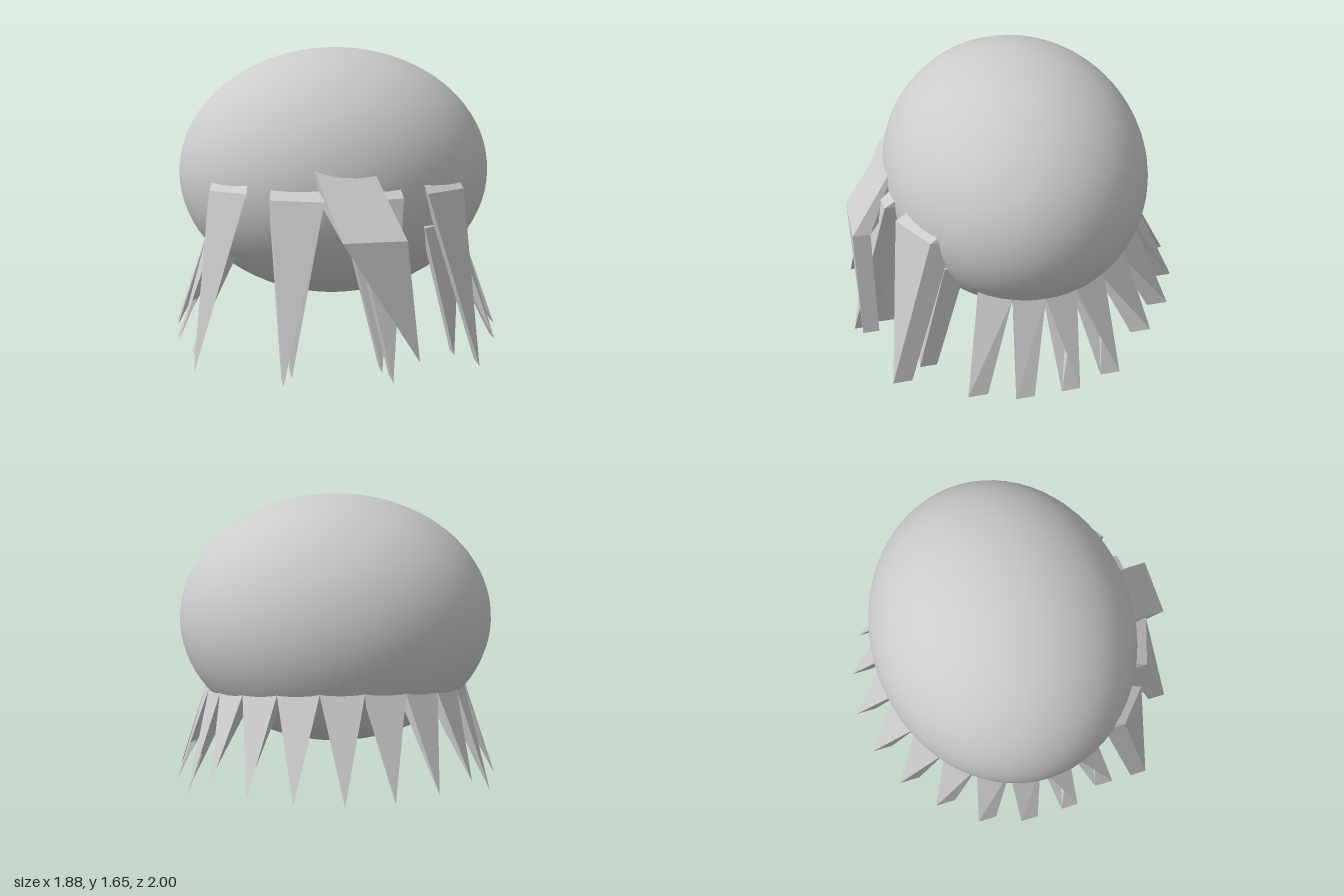
import * as THREE from 'three';

const bodyMat = new THREE.MeshStandardMaterial({ color: 0xcccccc });
const spikeMat = new THREE.MeshStandardMaterial({ color: 0xcccccc, flatShading: true, side: THREE.DoubleSide });

const C = { x: 0, y: 0.935, z: -0.022 };      // ellipsoid centre
const R = { x: 0.905, y: 0.715, z: 0.763 };   // ellipsoid radii

// Skin four-cornered sections (outer left, outer right, inner right, inner left) from top to tip
function loft(name, sections) {
  const pos = [];
  for (let s = 0; s + 1 < sections.length; s++) {
    const t = sections[s], b = sections[s + 1];
    for (let i = 0; i < 4; i++) {
      const j = (i + 1) % 4;
      pos.push(...t[i], ...b[i], ...b[j], ...t[i], ...b[j], ...t[j]);
    }
  }
  const g = new THREE.BufferGeometry();
  g.setAttribute('position', new THREE.Float32BufferAttribute(pos, 3));
  g.computeVertexNormals();
  const m = new THREE.Mesh(g, spikeMat);
  m.name = name;
  return m;
}

// Section from its two outer corners, with the inner corners set back by d
function section(l, r, d) {
  const back = p => [p[0] + d[0], p[1] + d[1], p[2] + d[2]];
  return [l, r, back(r), back(l)];
}

// Tip: a short edge running along z
function tip(x, y, zOuter, zInner) {
  const t = [x, y, zOuter], u = [x, y, zInner];
  return [t, t, u, u];
}

// Point on the ellipsoid at height y and angle a from the back, scaled by k
function onBody(a, y, k = 1) {
  const w = Math.sqrt(1 - ((y - C.y) / R.y) ** 2) * k;
  return [R.x * w * Math.sin(a), y, C.z - R.z * w * Math.cos(a)];
}

// Spike of the ring round the sides and back
function ringSpike(i) {
  const step = Math.PI * 2 / 22, a = i * step, h = step / 2;
  const corner = (ang, k, lift) => {
    const z = -0.7 * Math.cos(ang);
    return onBody(ang, 0.55 + 0.27 * z * z + lift, k);
  };
  const sec = (k, lift, inset) => [
    corner(a + h, k, lift), corner(a - h, k, lift),
    corner(a - h, k - inset, lift), corner(a + h, k - inset, lift)];
  const z = -0.935 * Math.cos(a), half = Math.sign(z) * (0.052 + 0.013 * Math.abs(z));
  const y = Math.abs(i) <= 3 ? 0.15 : 0;
  return loft('ringSpike', [
    sec(0.85, 0.06, 0.14), sec(1.0, 0, 0.14),
    tip(0.95 * Math.sin(a), y, z + half, z - half)]);
}

// Fringe lock: root inside the body, a shoulder, then a long taper
function fringeLock(name, l, r, end) {
  const root = p => [p[0] * 0.94, p[1] + 0.12, p[2] - 0.2];
  const d = [0, 0, -0.12];
  return loft(name, [section(root(l), root(r), d), section(l, r, d), tip(...end)]);
}

export function createModel() {
  const model = new THREE.Group();

  // Smooth rounded body
  const body = new THREE.Mesh(new THREE.SphereGeometry(1, 64, 40), bodyMat);
  body.scale.set(R.x, R.y, R.z);
  body.position.set(C.x, C.y, C.z);
  body.name = 'body';
  model.add(body);

  // Spikes round the sides and back
  const ring = new THREE.Group();
  ring.name = 'spikeRing';
  for (let i = -7; i <= 7; i++) ring.add(ringSpike(i));
  model.add(ring);

  // Front locks: outer shoulder corners and tip
  const fringe = new THREE.Group();
  fringe.name = 'fringe';
  const locks = [
    ['farRightLock', [-0.75, 0.94, 0.47], [-0.57, 0.95, 0.63], [-0.865, 0, 0.67, 0.57]],
    ['rightLock', [-0.45, 0.93, 0.71], [-0.18, 0.93, 0.8], [-0.42, 0, 0.96, 0.85]],
    ['middleLock', [-0.05, 0.93, 0.8], [0.245, 0.93, 0.77], [0.15, 0, 1.0, 0.87]],
    ['leftLock', [0.385, 0.94, 0.73], [0.62, 0.93, 0.58], [0.66, 0, 0.84, 0.73]],
    // Thinner locks behind
    ['rightRearLock', [-0.4, 0.8, 0.68], [-0.18, 0.86, 0.73], [-0.365, 0, 0.86, 0.75]],
    ['middleRearLock', [-0.06, 0.8, 0.73], [0.19, 0.8, 0.72], [0.12, 0, 0.86, 0.75]],
    ['leftRearLock', [0.39, 0.73, 0.65], [0.62, 0.74, 0.51], [0.565, 0, 0.67, 0.57]],
  ];
  for (const l of locks) fringe.add(fringeLock(...l));

  // Bent centre lock sweeping outward, then down to one side
  fringe.add(loft('bentCentreLock', [
    section([-0.235, 1.13, 0.66], [0.07, 1.13, 0.66], [0, -0.14, -0.06]),
    section([-0.11, 0.75, 0.96], [0.225, 0.75, 0.96], [0, 0, -0.1]),
    tip(0.3, 0.09, 0.96, 0.865)]));
  model.add(fringe);

  return model;
}
